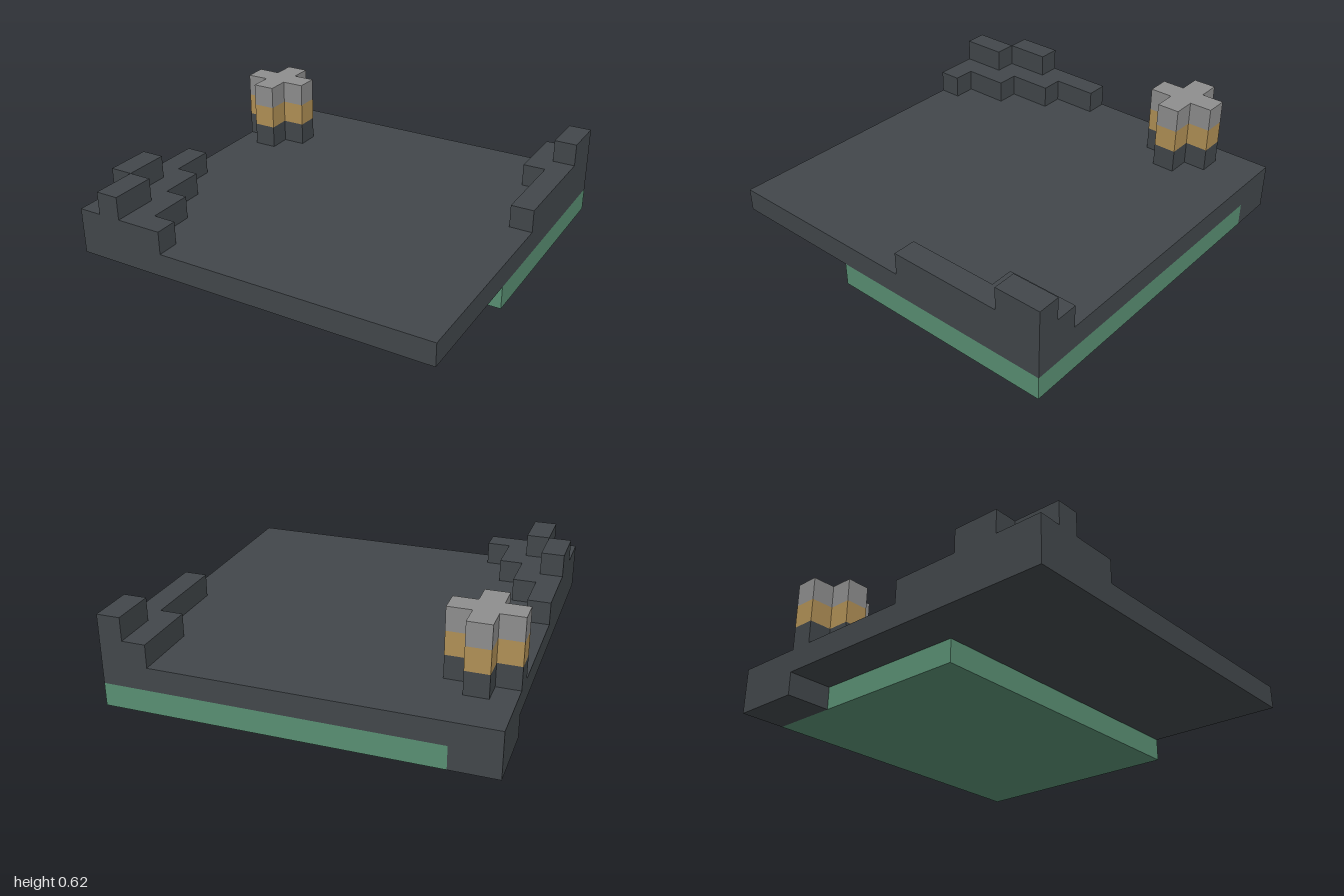
import * as THREE from 'three';

const U = 0.125; // one block

function material(name, color) {
  const m = new THREE.MeshStandardMaterial({ color });
  m.name = name;
  return m;
}

export function createModel() {
  const group = new THREE.Group();
  const slate = material('slate', 0x42474b);
  const green = material('green', 0x598f73);
  const tan = material('tan', 0xb19056);
  const grey = material('grey', 0x8e8e8e);

  // Upright prism from a plan outline of [x, z] points, given in blocks
  function prism(name, mat, plan, y0, y1) {
    const shape = new THREE.Shape(plan.map(([x, z]) => new THREE.Vector2(x * U, z * U)));
    const geo = new THREE.ExtrudeGeometry(shape, { depth: (y1 - y0) * U, bevelEnabled: false });
    geo.rotateX(Math.PI / 2).translate(0, y1 * U, 0);
    const mesh = new THREE.Mesh(geo, mat);
    mesh.name = name;
    group.add(mesh);
  }

  // Box between block coordinates
  function block(name, mat, x0, x1, y0, y1, z0, z1) {
    const geo = new THREE.BoxGeometry((x1 - x0) * U, (y1 - y0) * U, (z1 - z0) * U);
    geo.translate((x0 + x1) * U / 2, (y0 + y1) * U / 2, (z0 + z1) * U / 2);
    const mesh = new THREE.Mesh(geo, mat);
    mesh.name = name;
    group.add(mesh);
  }

  // Floor and what lies under it
  block('floorSlab', slate, -8, 8, 1, 2, -8, 8);
  block('lowerPlate', green, -6, 8, 0, 1, -8, 2);
  block('cornerFoot', slate, -8, -6, 0, 1, -8, -5);

  // Stepped ledge in the front corner, with two raised blocks
  prism('frontLedge', slate, [
    [-8, 1], [-7, 1], [-7, 3], [-6, 3], [-6, 5], [-5, 5], [-5, 7], [-4, 7], [-4, 8], [-8, 8],
  ], 2, 3);
  block('frontLedgeSideBlock', slate, -8, -7, 3, 4, 4, 6);
  block('frontLedgeInnerBlock', slate, -7, -6, 3, 4, 6, 8);

  // Ledge in the back corner
  prism('backLedge', slate, [
    [6, -8], [8, -8], [8, -1], [7, -1], [7, -5], [6, -5],
  ], 2, 3);
  block('backLedgeBlock', slate, 7, 8, 3, 4, -8, -6);

  // Cross-shaped pillar in three colour bands
  const cross = [
    [-7, -6], [-6, -6], [-6, -5], [-5, -5], [-5, -4], [-6, -4],
    [-6, -3], [-7, -3], [-7, -4], [-8, -4], [-8, -5], [-7, -5],
  ];
  [['pillarBase', slate], ['pillarBand', tan], ['pillarCap', grey]].forEach(([name, mat], i) => {
    prism(name, mat, cross, 2 + i, 3 + i);
  });

  return group;
}
